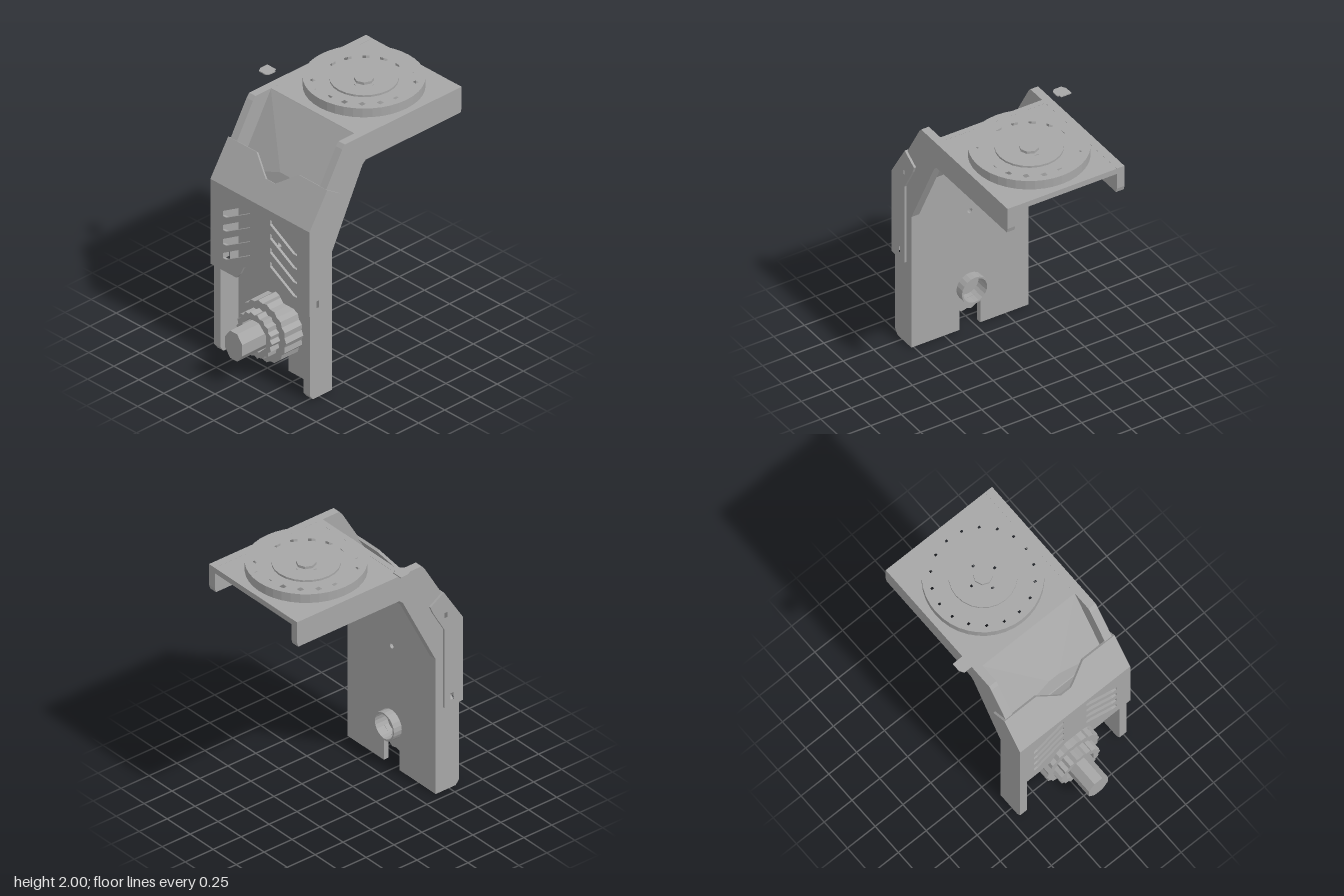
import * as THREE from 'three';

const CX = 0.04; // centre line of the bracket
const KY = 0.35; // height of the drive shaft

export function createModel() {
  const group = new THREE.Group();
  const grey = new THREE.MeshStandardMaterial({ color: 0xa6a6a6 });

  const add = (name, geometry) => {
    const mesh = new THREE.Mesh(geometry, grey);
    mesh.name = name;
    group.add(mesh);
    return mesh;
  };
  const shapeOf = (pts, holes = []) => {
    const s = new THREE.Shape(pts.map(p => new THREE.Vector2(p[0], p[1])));
    holes.forEach(h => s.holes.push(new THREE.Path(h.map(p => new THREE.Vector2(p[0], p[1])))));
    return s;
  };
  const ring = (cx, cy, n, rx, ry = rx, phase = 0) => Array.from({ length: n }, (_, i) => {
    const a = phase + i / n * Math.PI * 2;
    return [cx + rx * Math.cos(a), cy + ry * Math.sin(a)];
  });
  const rect = (cx, cy, w, h) => [[cx - w / 2, cy - h / 2], [cx + w / 2, cy - h / 2],
    [cx + w / 2, cy + h / 2], [cx - w / 2, cy + h / 2]];
  const extrude = (pts, depth, holes) =>
    new THREE.ExtrudeGeometry(shapeOf(pts, holes), { depth, bevelEnabled: false });
  // Outline in (x, y), thickness along z
  const facing = (name, pts, z0, z1, holes) =>
    add(name, extrude(pts, z1 - z0, holes).translate(0, 0, z0));
  // Outline in (z, y), thickness along x
  const profile = (name, pts, x0, x1, holes = []) => {
    const flip = list => list.map(([z, y]) => [-z, y]);
    add(name, extrude(flip(pts), x1 - x0, holes.map(flip)).rotateY(Math.PI / 2).translate(x0, 0, 0));
  };
  // Outline in (x, z), thickness along y
  const flat = (name, pts, y0, y1, holes = []) => {
    const flip = list => list.map(([x, z]) => [x, -z]);
    add(name, extrude(flip(pts), y1 - y0, holes.map(flip)).rotateX(-Math.PI / 2).translate(0, y0, 0));
  };

  // Bent side walls and the cover cheeks clipped outside them
  const wall = [[0.56, 0], [0.59, 0.04], [0.59, 1.37], [0.28, 1.9], [0.255, 1.93], [-0.86, 1.93],
    [-0.86, 1.76], [-0.85, 1.725], [0.055, 1.725], [0.085, 1.7], [0.38, 1.11], [0.38, 0]];
  const cheek = [[0.61, 0.69], [0.61, 1.375], [0.44, 1.645], [0.32, 1.57], [0.34, 1.52],
    [0.445, 1.335], [0.445, 0.69]];
  const clipHoles = [rect(0.465, 1.445, 0.04, 0.055), rect(0.52, 0.755, 0.04, 0.07)];
  for (const [side, s] of [['left', 1], ['right', -1]]) {
    const span = (a, b) => [CX + s * a, CX + s * b].sort((p, q) => p - q);
    profile(side + 'Wall', wall, ...span(0.415, 0.478), clipHoles);
    profile(side + 'CoverCheek', cheek, ...span(0.478, 0.495), clipHoles);
  }

  // Upright back plate with bottom notch, shaft bore and a small hole
  const L = CX - 0.415, R = CX + 0.415;
  facing('backPlate', [[L, 0], [-0.045, 0], [-0.045, 0.235], [0.125, 0.235], [0.125, 0], [R, 0],
    [R, 1.39], [L, 1.39]], 0.38, 0.42, [ring(CX, KY, 20, 0.1), ring(CX, 0.98, 10, 0.02)]);

  // Sloping plate between the walls
  profile('slopingPlate', [[0.38, 1.37], [0.42, 1.39], [0.105, 1.93], [0.06, 1.93], [0.075, 1.885]], L, R);

  // Shallow pressed facets rising to a short ridge on the slope
  const top = 1.925, low = 1.4, zt = 0.109, zl = 0.415;
  const a = [0, 1.53, 0.378], b = [0.09, 1.53, 0.378];
  const tl = [L, top, zt], tr = [R, top, zt], bl = [L, low, zl], br = [R, low, zl];
  const ml = [CX - 0.26, top, zt], mr = [CX + 0.26, top, zt];
  const facets = [[ml, a, b], [ml, b, mr], [tl, a, ml], [mr, b, tr],
    [tl, bl, a], [tr, b, br], [a, bl, br], [a, br, b]];
  const skin = new THREE.BufferGeometry();
  skin.setAttribute('position', new THREE.Float32BufferAttribute(facets.flat(2), 3));
  skin.computeVertexNormals();
  add('pressedFacets', skin);

  // Top platform, pierced by the ring of bolt holes
  const DZ = -0.385;
  const boltHoles = ring(CX, DZ, 18, 0.362, 0.362, 0.1).map(([x, z]) => rect(x, z, 0.036, 0.036));
  const hubHoles = ring(CX, DZ, 4, 0.105, 0.105, Math.PI / 2).map(([x, z]) => rect(x, z, 0.03, 0.03));
  flat('topPlate', [[L, -0.86], [R, -0.86], [R, 0.105], [L, 0.105]], 1.885, 1.929,
    [...boltHoles, ...hubHoles]);

  // Turntable: stepped rings with grooves between them
  flat('turntableRim', ring(CX, DZ, 40, 0.425), 1.929, 2.0, [ring(CX, DZ, 36, 0.285), ...boltHoles]);
  flat('turntableGroove', ring(CX, DZ, 36, 0.285), 1.929, 1.98, [ring(CX, DZ, 24, 0.24)]);
  flat('turntableCentre', ring(CX, DZ, 24, 0.24), 1.929, 1.995, [ring(CX, DZ, 12, 0.125)]);
  flat('turntableHubGroove', ring(CX, DZ, 12, 0.125), 1.929, 1.975,
    [...hubHoles, ring(CX, DZ, 8, 0.07)]);
  flat('turntableHub', ring(CX, DZ, 8, 0.07), 1.929, 1.995);

  // Small loose tab beside the turntable
  flat('looseTab', [[-0.54, -0.015], [-0.455, -0.015], [-0.455, 0.005], [-0.438, 0.005],
    [-0.438, 0.06], [-0.455, 0.085], [-0.52, 0.085], [-0.54, 0.05]], 1.992, 2.0);

  // Front cover: arched bottom edge and slanted vents
  const CL = CX - 0.495, CR = CX + 0.495;
  const arch = [[0.235, 0.69], [0.2, 0.73], [0.165, 0.8], [0.12, 0.835], [0.08, 0.86]];
  const vents = [];
  for (let i = 0; i < 4; i++) {
    const y = 1.13 - i * 0.113;
    for (const s of [-1, 1]) {
      vents.push([[0.37, y], [0.335, y], [0.1, y + 0.135], [0.1, y + 0.175], [0.14, y + 0.175],
        [0.37, y + 0.04]].map(([x, v]) => [CX + s * x, v]));
    }
  }
  facing('frontCover', [[CL, 0.69], ...arch.map(([x, y]) => [CX - x, y]),
    ...arch.map(([x, y]) => [CX + x, y]).reverse(), [CR, 0.69], [CR, 1.375], [CL, 1.375]],
  0.59, 0.61, vents);

  // Slanted upper cover with a notched top edge
  const len = Math.hypot(0.17, 0.27);
  const slant = extrude([[CL, 0], [CR, 0], [CR, len], [CX + 0.21, len], [CX + 0.085, 0.215],
    [CX + 0.045, 0.185], [CX - 0.045, 0.185], [CX - 0.085, 0.215], [CX - 0.21, len], [CL, len]], 0.02);
  slant.translate(0, 0, -0.02).rotateX(-Math.atan2(0.17, 0.27)).translate(0, 1.375, 0.61);
  add('slantedCover', slant);

  // Drive: flange, toothed collar, shaft and rear sleeve
  const toothed = (n, r0, r1) => ring(CX, KY, n * 2, 1).map(([x, y], i) => {
    const r = i % 2 ? r0 : r1;
    return [CX + (x - CX) * r, KY + (y - KY) * r];
  });
  facing('driveFlange', toothed(18, 0.222, 0.237), 0.42, 0.585);
  facing('toothedCollar', toothed(18, 0.16, 0.178), 0.585, 0.665, [ring(CX, KY, 8, 0.128, 0.128, Math.PI / 8)]);
  const oct = 1 / Math.cos(Math.PI / 8);
  facing('driveShaft', ring(CX, KY - 0.005, 8, 0.085 * oct, 0.11 * oct, Math.PI / 8), 0.585, 0.86);
  facing('rearSleeve', ring(CX, KY - 0.005, 20, 0.11), 0.31, 0.42, [ring(CX, KY - 0.005, 20, 0.097)]);

  return group;
}
